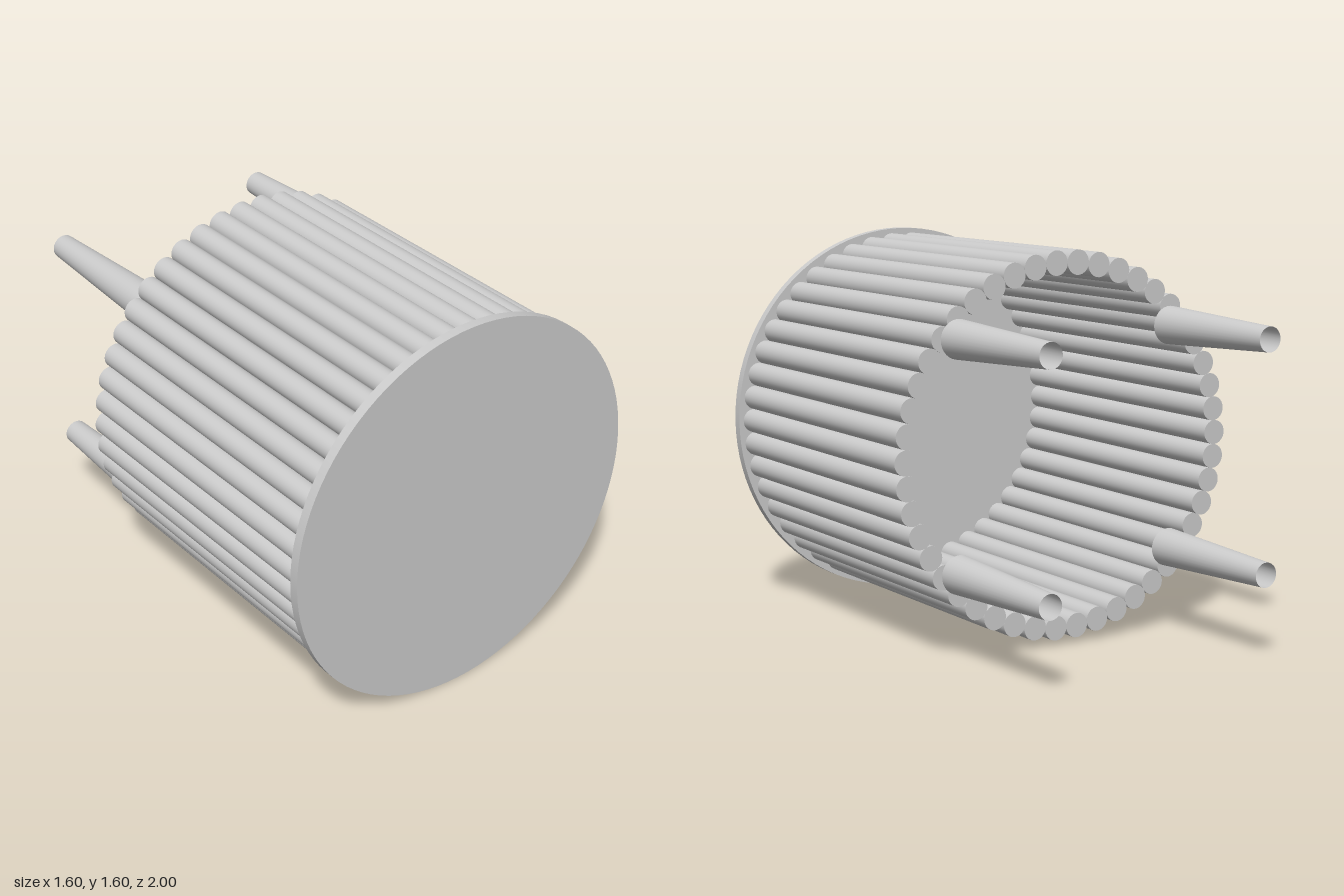
import * as THREE from 'three';

const CENTRE_Y = 0.8;
const RODS = 46;
const RING_RADIUS = 0.73;
const BACK_Z = -0.36;
const DISC_BACK_Z = 0.96;

const material = new THREE.MeshStandardMaterial({ color: 0xcccccc });
const openMaterial = new THREE.MeshStandardMaterial({ color: 0xcccccc, side: THREE.DoubleSide });

// Cylinder lying along z, from zBack to zFront
function alongZ(name, rFront, rBack, zFront, zBack, segments, open = false) {
  const geometry = new THREE.CylinderGeometry(rFront, rBack, zFront - zBack, segments, 1, open);
  geometry.rotateX(Math.PI / 2);
  geometry.translate(0, 0, (zFront + zBack) / 2);
  const mesh = new THREE.Mesh(geometry, open ? openMaterial : material);
  mesh.name = name;
  return mesh;
}

export function createModel() {
  const model = new THREE.Group();
  model.name = 'rodDrum';

  // Front disc
  const disc = alongZ('frontDisc', 0.8, 0.8, 1, DISC_BACK_Z, 96);
  disc.position.y = CENTRE_Y;
  model.add(disc);

  // Ring of touching rods forming the wall
  const wall = new THREE.Group();
  wall.name = 'rodWall';
  wall.position.y = CENTRE_Y;
  const rod = alongZ('rod', 0.05, 0.05, DISC_BACK_Z, BACK_Z, 32);
  for (let i = 0; i < RODS; i++) {
    const a = (i / RODS) * Math.PI * 2;
    const copy = rod.clone();
    copy.position.set(Math.cos(a) * RING_RADIUS, Math.sin(a) * RING_RADIUS, 0);
    wall.add(copy);
  }
  model.add(wall);

  // Four hollow tapered legs at the back
  const leg = alongZ('leg', 0.078, 0.05, BACK_Z, -1, 32, true);
  for (const sx of [-1, 1]) {
    for (const sy of [-1, 1]) {
      const copy = leg.clone();
      copy.name = (sy > 0 ? 'upper' : 'lower') + (sx > 0 ? 'Left' : 'Right') + 'Leg';
      copy.position.set(sx * 0.497, CENTRE_Y + sy * 0.457, 0);
      model.add(copy);
    }
  }
  return model;
}
